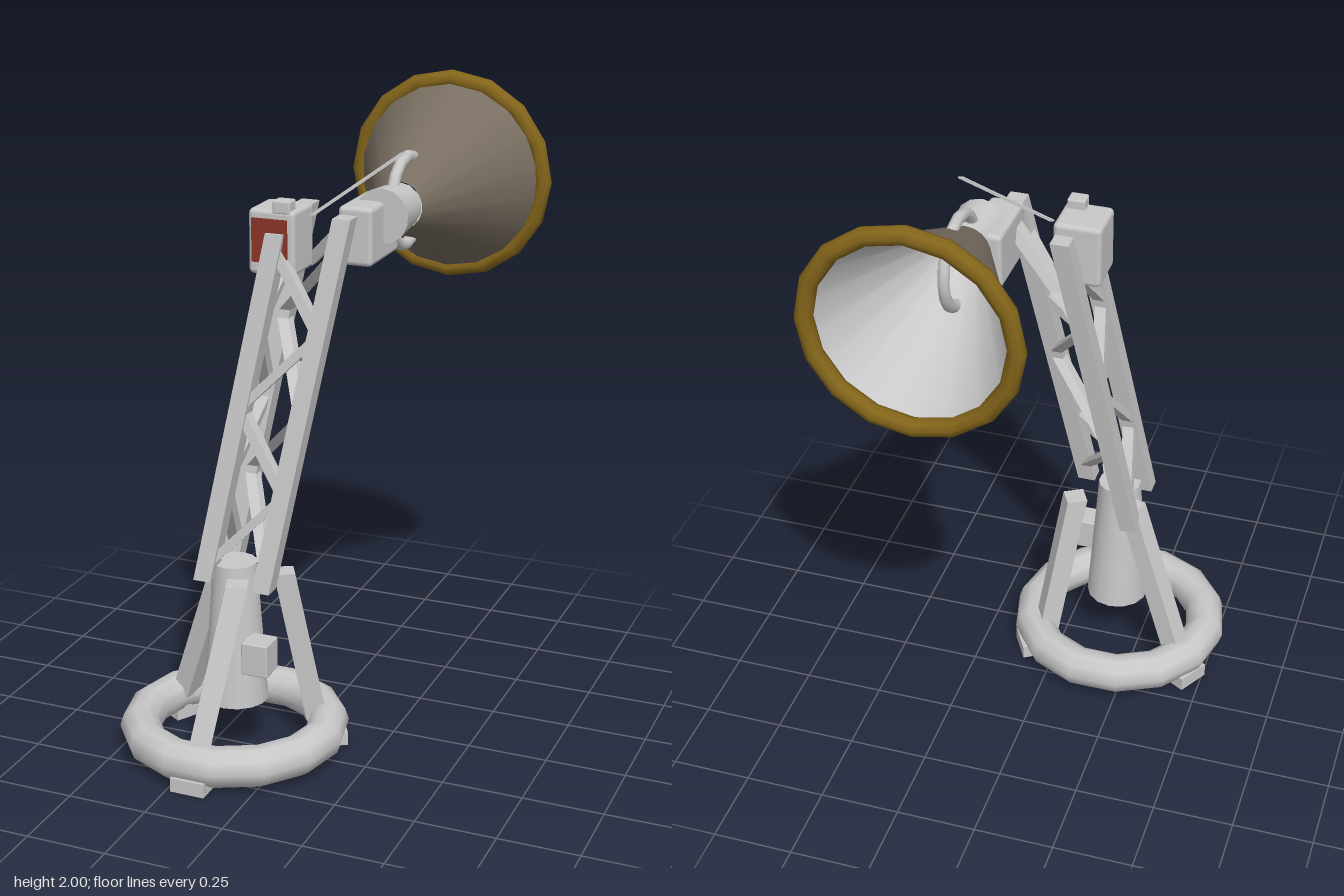
import * as THREE from 'three';
import { toCreasedNormals } from 'three/addons/utils/BufferGeometryUtils.js';
import { RoundedBoxGeometry } from 'three/addons/geometries/RoundedBoxGeometry.js';

const mat = (name, color) => {
  const m = new THREE.MeshStandardMaterial({ color });
  m.name = name;
  return m;
};

export function createModel() {
  const model = new THREE.Group();
  model.name = 'floodlightMast';
  const grey = mat('light grey metal', 0xc8c8c8);
  const brown = mat('brown grey horn', 0x786e61);
  const gold = mat('dark gold rim', 0x84651a);
  const red = mat('dull red panel', 0x8c3528);

  const V = (x, y, z) => new THREE.Vector3(x, y, z);
  const add = (name, geo, material, x = 0, y = 0, z = 0) => {
    const mesh = new THREE.Mesh(geo, material);
    mesh.name = name;
    mesh.position.set(x, y, z);
    model.add(mesh);
    return mesh;
  };

  // Beam with level ends: a box sheared so that it runs from a to b
  const beam = (name, a, b, w, yaw = 0, d = w) => {
    const geo = new THREE.BoxGeometry(w, 1, d).rotateY(yaw);
    const p = geo.attributes.position;
    for (let i = 0; i < p.count; i++) {
      const c = a.clone().lerp(b, p.getY(i) + 0.5);
      p.setXYZ(i, p.getX(i) + c.x, c.y, p.getZ(i) + c.z);
    }
    geo.computeVertexNormals();
    return add(name, geo, grey);
  };
  const roundBox = (name, w, h, d, x, y, z, r = 0.015) =>
    add(name, new RoundedBoxGeometry(w, h, d, 2, r), grey, x, y, z);

  // Base ring with three feet
  const cx = -0.18, cz = 0.265;
  add('baseRing', new THREE.TorusGeometry(0.293, 0.063, 10, 14).rotateX(Math.PI / 2), grey, cx, 0.076, cz);
  for (let i = 0; i < 3; i++) {
    const t = (i * Math.PI * 2) / 3;
    const foot = add('foot', new THREE.BoxGeometry(0.11, 0.045, 0.11), grey,
      cx + Math.sin(t) * 0.293, 0.0225, cz + Math.cos(t) * 0.293);
    foot.rotation.y = t;
  }

  // Three legs leaning in to the mast
  beam('frontLeg', V(-0.18, 0.08, 0.54), V(-0.115, 0.6, 0.375), 0.065, 0.35);
  beam('rightLeg', V(-0.41, 0.08, 0.14), V(-0.225, 0.6, 0.205), 0.065, -0.25);
  beam('leftLeg', V(0.04, 0.08, 0.135), V(-0.035, 0.59, 0.21), 0.065, 0.5);

  // Central counterweight drum and control box
  add('drum', toCreasedNormals(new THREE.CylinderGeometry(0.068, 0.1, 0.45, 14), 0.7), grey, -0.165, 0.405, 0.28);
  roundBox('controlBox', 0.085, 0.105, 0.085, -0.058, 0.362, 0.345, 0.005);

  // Three parallel mast posts
  const posts = {
    frontRight: [V(-0.235, 0.585, 0.34), V(-0.065, 1.63, 0.17)],
    frontLeft: [V(-0.04, 0.58, 0.35), V(0.14, 1.69, 0.16)],
    back: [V(-0.235, 0.55, 0.155), V(-0.055, 1.68, -0.03)],
  };
  for (const [key, [a, b]] of Object.entries(posts)) beam(key + 'Post', a, b, 0.056);

  // Zigzag lattice on each of the three faces
  const at = (key, y) => {
    const [a, b] = posts[key];
    return a.clone().lerp(b, (y - a.y) / (b.y - a.y));
  };
  const faces = [['frontRight', 'frontLeft'], ['back', 'frontRight'], ['frontLeft', 'back']];
  const steps = 4, y0 = 0.63, y1 = 1.59;
  for (const pair of faces) {
    for (let i = 0; i < steps; i++) {
      const lo = y0 + ((y1 - y0) * i) / steps;
      const hi = y0 + ((y1 - y0) * (i + 1)) / steps;
      beam('latticeBrace', at(pair[i % 2], lo), at(pair[(i + 1) % 2], hi), 0.036);
    }
  }
  beam('topBrace', V(-0.04, 1.5, 0.0), V(0.13, 1.67, 0.06), 0.045);

  // Mast head housing with red panel and a cap
  roundBox('headHousing', 0.146, 0.195, 0.15, -0.082, 1.598, 0.105);
  add('redPanel', new THREE.BoxGeometry(0.11, 0.13, 0.009), red, -0.085, 1.605, 0.184);
  roundBox('headCap', 0.055, 0.04, 0.05, -0.05, 1.705, 0.155, 0.006);

  // Horn mount and thin pointer rod
  roundBox('hornMount', 0.105, 0.175, 0.23, 0.152, 1.623, 0.0);
  beam('pointerRod', V(0.01, 1.67, 0.09), V(0.24, 1.845, -0.045), 0.014, 0.5, 0.01);

  // Horn: neck, cone with pale lining, gold rim
  const hx = 0.198, hy = 1.667;
  add('hornNeck', toCreasedNormals(new THREE.CylinderGeometry(0.07, 0.083, 0.15, 14).rotateX(-Math.PI / 2), 0.7),
    grey, hx, hy, -0.058);
  const cone = (pts) => new THREE.LatheGeometry(pts.map(([r, y]) => new THREE.Vector2(r, y)), 18).rotateX(-Math.PI / 2);
  add('hornShell', cone([[0.073, 0.13], [0.302, 0.605]]), brown, hx, hy, 0);
  add('hornLining', cone([[0.298, 0.605], [0.069, 0.133], [0, 0.133]]), grey, hx, hy, 0);
  add('hornRim', new THREE.TorusGeometry(0.303, 0.028, 8, 16), gold, hx, hy, -0.602);

  // Upright carrying ring through the horn throat
  add('carryRing', new THREE.TorusGeometry(0.134, 0.018, 8, 16).rotateY(Math.PI / 2), grey, 0.195, 1.668, -0.2);

  return model;
}
